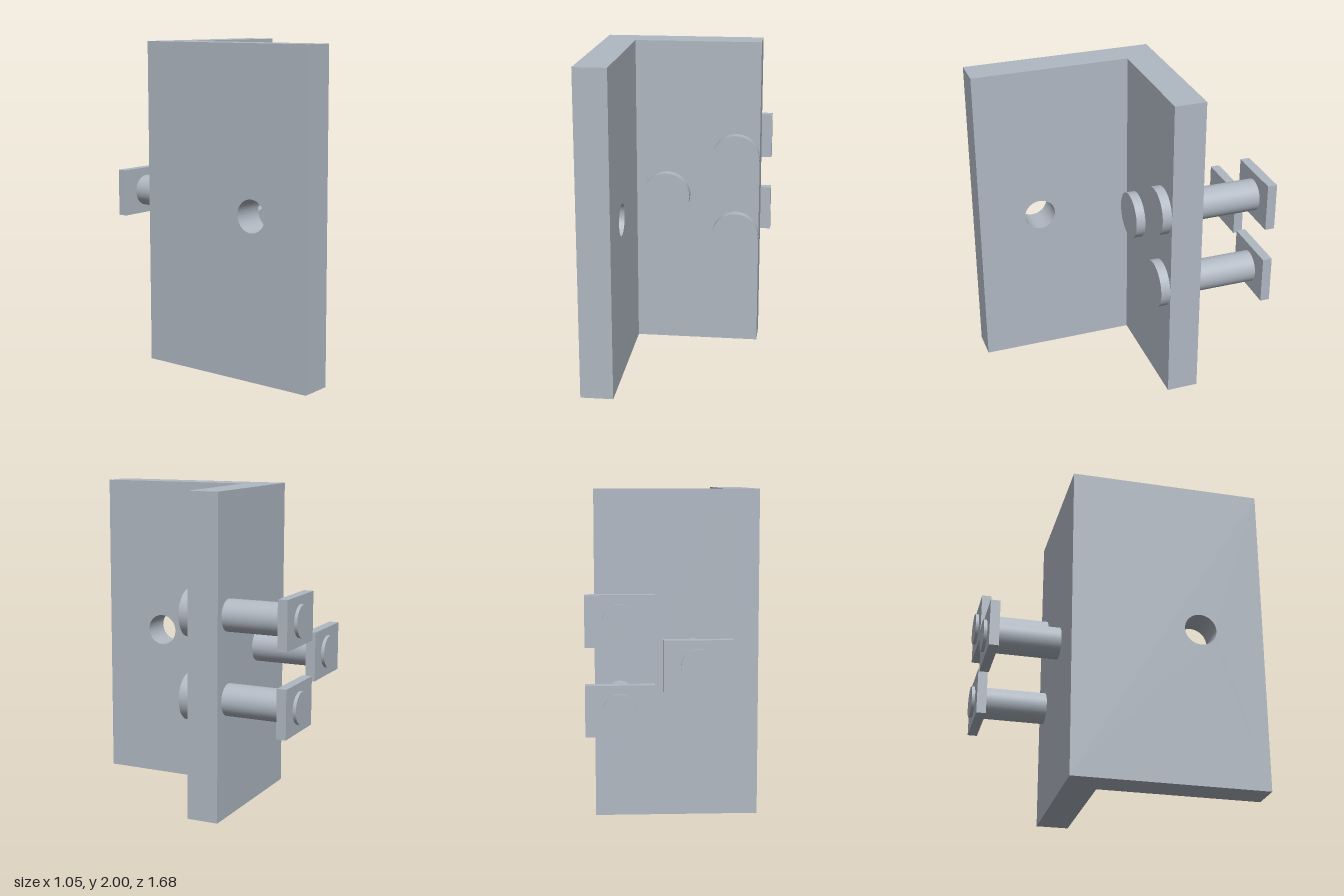
import * as THREE from 'three';
import { toCreasedNormals } from 'three/addons/utils/BufferGeometryUtils.js';

export function createModel() {
  const model = new THREE.Group();
  model.name = 'bracketWithBolts';
  const steel = new THREE.MeshStandardMaterial({ color: 0xb0b8c2 });
  steel.name = 'steel grey';

  const add = (parent, name, geometry, x, y, z) => {
    const mesh = new THREE.Mesh(geometry, steel);
    mesh.name = name;
    mesh.position.set(x, y, z);
    parent.add(mesh);
  };
  // Box or z-aligned cylinder between two depths
  const box = (parent, name, w, h, x, y, z0, z1) =>
    add(parent, name, new THREE.BoxGeometry(w, h, z1 - z0), x, y, (z0 + z1) / 2);
  const rod = (parent, name, r, x, y, z0, z1) =>
    add(parent, name, new THREE.CylinderGeometry(r, r, z1 - z0, 48).rotateX(Math.PI / 2), x, y, (z0 + z1) / 2);

  // Side plate: drawn in z and y with a round hole, extruded along x
  const side = new THREE.Shape();
  side.moveTo(-0.36, 0).lineTo(0.84, 0).lineTo(0.84, 2).lineTo(-0.36, 2).closePath();
  const hole = new THREE.Path();
  hole.absarc(0.44, 1, 0.1, 0, Math.PI * 2, true);
  side.holes.push(hole);
  const sideGeometry = new THREE.ExtrudeGeometry(side, { depth: 0.2, bevelEnabled: false, curveSegments: 48 });
  sideGeometry.rotateY(-Math.PI / 2);
  add(model, 'sidePlate', toCreasedNormals(sideGeometry, 0.6), -0.325, 0, 0);

  // Back plate completing the angle bracket
  box(model, 'backPlate', 0.8, 2, 0.072, 1, -0.36, -0.16);

  // Three bolts, each with a round head, a shaft and a rectangular end plate
  for (const [x, y] of [[-0.125, 1], [0.322, 1.26], [0.322, 0.742]]) {
    const bolt = new THREE.Group();
    bolt.name = 'bolt';
    rod(bolt, 'boltHead', 0.15, x, y, -0.16, -0.1);
    rod(bolt, 'boltShaft', 0.1, x, y, -0.84, -0.36);
    box(bolt, 'endPlate', 0.4, 0.3, x, y, -0.82, -0.76);
    model.add(bolt);
  }
  return model;
}
